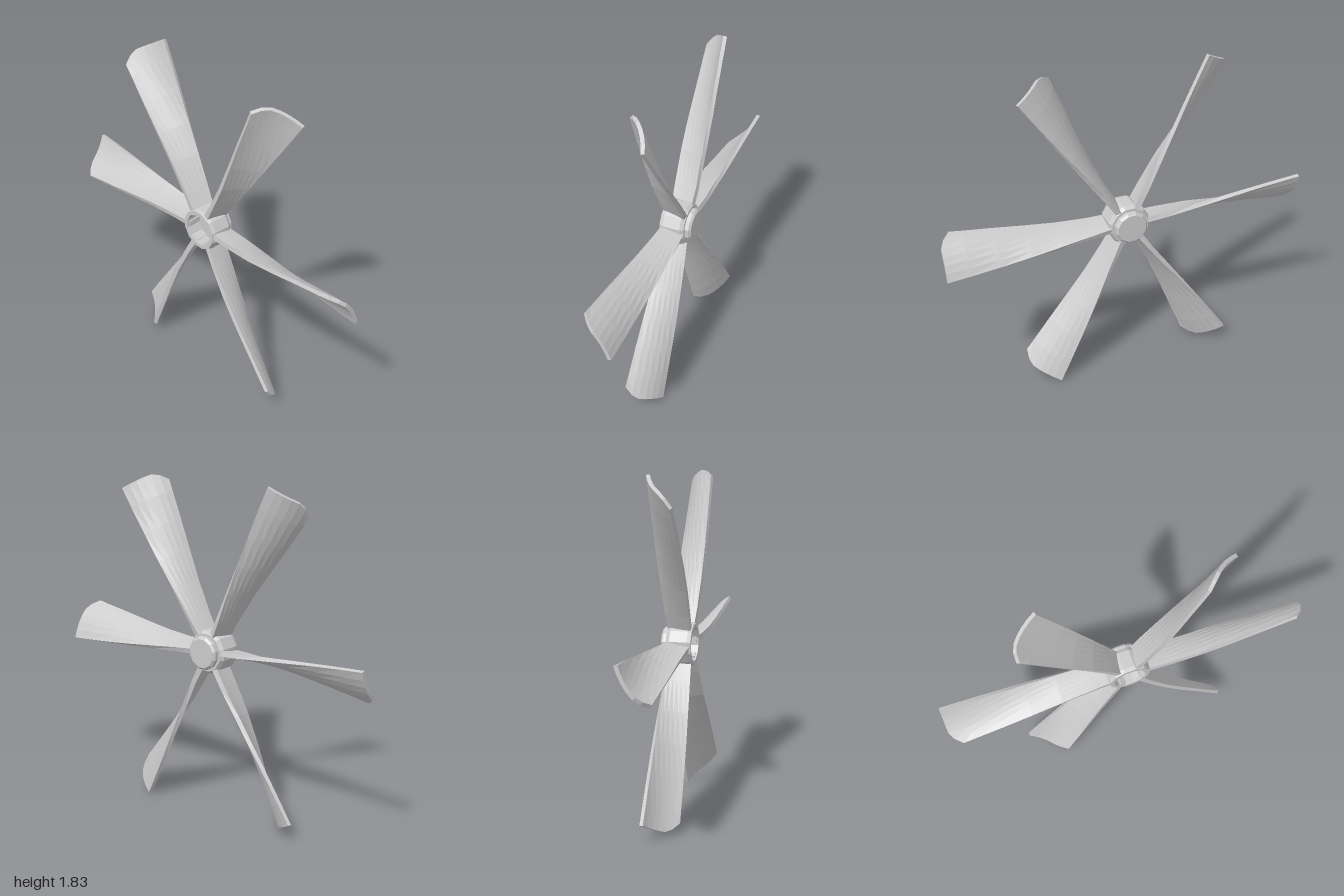
import * as THREE from 'three';

const material = new THREE.MeshStandardMaterial({ color: 0xcccccc, flatShading: true, side: THREE.DoubleSide });
const BLADES = 6;
const CHORD = 7; // points across the blade

// Blade stations: [radius, rear edge x, front edge x, rear edge offset, front edge offset, half thickness]
const STATIONS = [
  [0.08, -0.07, 0.05, 0.008, -0.012, 0.016],
  [0.2, -0.076, 0.057, 0.009, -0.02, 0.013],
  [0.38, -0.083, 0.06, 0.02, -0.04, 0.012],
  [0.55, -0.087, 0.062, 0.042, -0.058, 0.011],
  [0.72, -0.088, 0.062, 0.068, -0.075, 0.01],
  [0.88, -0.088, 0.062, 0.09, -0.089, 0.01],
  [1.0, -0.088, 0.062, 0.1, -0.098, 0.01],
];

// Closed loop around one cambered cross-section, convex side first
function section([r, x0, x1, t0, t1, half], isTip) {
  const bulge = 0.17 * (t0 - t1);
  const curve = new THREE.QuadraticBezierCurve(
    new THREE.Vector2(x0, t0),
    new THREE.Vector2((x0 + x1) / 2 + bulge, (t0 + t1) / 2 + bulge * 1.2),
    new THREE.Vector2(x1, t1));
  const upper = [], lower = [];
  for (let i = 0; i < CHORD; i++) {
    const u = i / (CHORD - 1);
    const p = curve.getPoint(u), d = curve.getTangent(u);
    // the rear corner of the tip is rounded off
    const z = isTip ? r - 0.06 * Math.max(0, 1 - u / 0.4) ** 2 : r;
    upper.push([p.x - d.y * half, p.y + d.x * half, z]);
    lower.unshift([p.x + d.y * half, p.y - d.x * half, z]);
  }
  return [...upper, ...lower];
}

// Twisted blade pointing along +z
function bladeGeometry() {
  const loops = STATIONS.map((s, i) => section(s, i === STATIONS.length - 1));
  const n = CHORD * 2;
  const positions = [];
  const quad = (a, b, c, d) => positions.push(...a, ...b, ...c, ...a, ...c, ...d);
  for (let k = 0; k < loops.length - 1; k++) {
    const a = loops[k], b = loops[k + 1];
    for (let i = 0; i < n; i++) {
      const j = (i + 1) % n;
      quad(a[i], b[i], b[j], a[j]);
    }
  }
  // tip and root caps
  const tip = loops[loops.length - 1], root = loops[0];
  for (let i = 0; i < CHORD - 1; i++) {
    quad(tip[i], tip[n - 1 - i], tip[n - 2 - i], tip[i + 1]);
    quad(root[i], root[i + 1], root[n - 2 - i], root[n - 1 - i]);
  }
  const geometry = new THREE.BufferGeometry();
  geometry.setAttribute('position', new THREE.Float32BufferAttribute(positions, 3));
  geometry.computeVertexNormals();
  return geometry;
}

// Twelve-sided hub on the x axis, hollow at the back with a stepped nose in front
function hubGeometry() {
  const profile = [
    [0, 0], [0.09, 0], [0.09, -0.08], [0.112, -0.08], [0.118, -0.06],
    [0.118, 0.035], [0.105, 0.055], [0.092, 0.055], [0.092, 0.075], [0.08, 0.087], [0, 0.087],
  ].map(([r, h]) => new THREE.Vector2(r, h));
  return new THREE.LatheGeometry(profile, 12, Math.PI / 12).rotateZ(-Math.PI / 2);
}

export function createModel() {
  const model = new THREE.Group();
  model.name = 'fan';
  const rotor = new THREE.Group();
  rotor.name = 'rotor';
  rotor.position.y = 0.915;
  model.add(rotor);

  const hub = new THREE.Mesh(hubGeometry(), material);
  hub.name = 'hub';
  rotor.add(hub);

  const geometry = bladeGeometry();
  for (let i = 0; i < BLADES; i++) {
    const blade = new THREE.Mesh(geometry, material);
    blade.name = `blade${i + 1}`;
    blade.rotation.x = (i / BLADES) * Math.PI * 2;
    rotor.add(blade);
  }
  return model;
}
